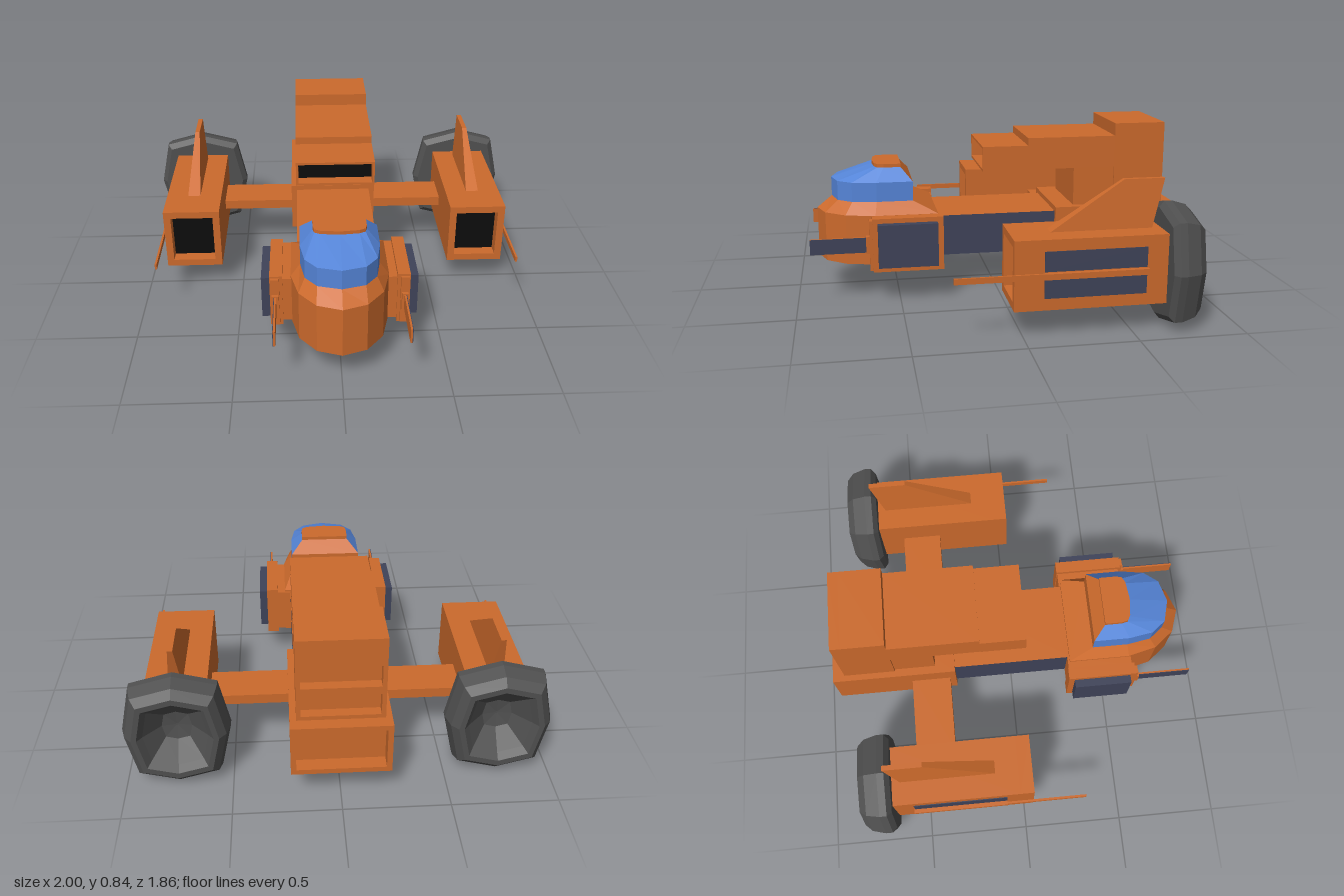
import * as THREE from 'three';

const mat = (name, color) => {
  const m = new THREE.MeshStandardMaterial({ color });
  m.name = name;
  return m;
};

export function createModel() {
  const orange = mat('orange hull', 0xcc6a2c);
  const navy = mat('navy panel', 0x3f4359);
  const blue = mat('blue glass', 0x5585d8);
  const black = mat('black intake', 0x0c0c0c);
  const grey = mat('grey thruster', 0x505050);
  const model = new THREE.Group();

  const add = (name, geo, material, parent = model) => {
    const mesh = new THREE.Mesh(geo, material);
    mesh.name = name;
    parent.add(mesh);
    return mesh;
  };

  // Box given by its limits on each axis
  const box = (name, material, [x0, x1], [y0, y1], [z0, z1], parent) => {
    const g = new THREE.BoxGeometry(Math.abs(x1 - x0), y1 - y0, Math.abs(z1 - z0));
    g.translate((x0 + x1) / 2, (y0 + y1) / 2, (z0 + z1) / 2);
    return add(name, g, material, parent);
  };

  // Rectangular rim with an open middle, running from z0 to z1
  const rim = (name, cx, w, [y0, y1], [z0, z1], t, parent) => {
    const rect = (P, a, b, c, d) => new P([[a, c], [b, c], [b, d], [a, d]].map(p => new THREE.Vector2(...p)));
    const shape = rect(THREE.Shape, cx - w, cx + w, y0, y1);
    shape.holes.push(rect(THREE.Path, cx - w + t, cx + w - t, y0 + t, y1 - t));
    const g = new THREE.ExtrudeGeometry(shape, { depth: z1 - z0, bevelEnabled: false });
    g.translate(0, 0, z0);
    return add(name, g, orange, parent);
  };

  // Flat-faced skin over equal-sized rings; the closing side gets material 1
  const loft = (rings) => {
    const pos = [], closing = [];
    const n = rings[0].length, last = rings[rings.length - 1];
    for (let r = 0; r < rings.length - 1; r++) {
      for (let i = 0; i < n; i++) {
        const j = (i + 1) % n, [a, b, c, d] = [rings[r][i], rings[r + 1][i], rings[r + 1][j], rings[r][j]];
        (j ? pos : closing).push(...a, ...b, ...c, ...a, ...c, ...d);
      }
    }
    for (let i = 1; i < n - 1; i++) {
      pos.push(...rings[0][0], ...rings[0][i], ...rings[0][i + 1]);
      pos.push(...last[0], ...last[i + 1], ...last[i]);
    }
    const g = new THREE.BufferGeometry();
    g.setAttribute('position', new THREE.Float32BufferAttribute([...pos, ...closing], 3));
    g.addGroup(0, pos.length / 3, 0);
    g.addGroup(pos.length / 3, closing.length / 3, 1);
    g.computeVertexNormals();
    return g;
  };

  // Symmetric plan outline [x, z] from the rear round the nose, lifted to y
  const plan = (half, y) => {
    const mirrored = half.slice(0, -1).reverse().map(([x, z]) => [-x, z]);
    return [...half, ...mirrored].map(([x, z]) => [x, y, z]);
  };

  // Cockpit hull, canopy and hatch
  const hull = [[0.23, 0.3], [0.23, 0.61], [0.195, 0.755], [0.115, 0.855], [0, 0.895]];
  const sill = [[0.185, 0.42], [0.185, 0.6], [0.165, 0.72], [0.11, 0.79], [0, 0.82]];
  const roof = [[0.125, 0.475], [0.125, 0.56], [0.118, 0.59], [0.09, 0.605], [0, 0.615]];
  add('cockpitHull', loft([plan(hull, 0.165), plan(hull, 0.415), plan(sill, 0.475)]), [orange, orange]);
  add('canopy', loft([plan(sill, 0.475), plan(sill, 0.572), plan(roof, 0.635)]), [blue, orange]);
  add('canopyHatch', loft([plan(roof, 0.632), plan(roof, 0.652)]), [orange, orange]);

  // Fuselage with dark flanks
  const flank = [navy, navy, orange, orange, orange, orange];
  box('fuselage', flank, [-0.2, 0.2], [0.19, 0.395], [-0.3, 0.31]);

  // Rear block with an open back
  box('rearBlock', orange, [-0.23, 0.23], [0.16, 0.42], [-0.86, -0.3]);
  rim('rearBlockRim', 0, 0.23, [0.16, 0.42], [-0.93, -0.86], 0.025);

  // Upper housing with a front intake
  box('upperHousing', orange, [-0.2, 0.2], [0.615, 0.775], [-0.61, -0.16]);
  box('intakeHousing', orange, [-0.2, 0.2], [0.61, 0.737], [-0.16, 0]);
  rim('intakeRim', 0, 0.2, [0.61, 0.737], [0, 0.07], 0.012);
  box('intakeGrille', black, [-0.188, 0.188], [0.622, 0.725], [0, 0.005]);
  box('housingPylon', orange, [-0.19, 0.19], [0.42, 0.615], [-0.61, -0.4]);

  // Tail tower with recessed back panels
  box('tailTower', orange, [-0.2, 0.2], [0.42, 0.838], [-0.82, -0.61]);
  box('tailCap', orange, [-0.2, 0.2], [0.72, 0.838], [-0.87, -0.82]);
  rim('tailUpperRim', 0, 0.2, [0.57, 0.72], [-0.87, -0.82], 0.02);
  rim('tailLowerRim', 0, 0.2, [0.42, 0.57], [-0.87, -0.82], 0.02);

  // Eight-sided thruster bell: [scale, z] rings out over the lip and into the bowl
  const corners = [[0.25, 0], [0.2, 0.23], [0, 0.283], [-0.2, 0.23], [-0.25, 0], [-0.2, -0.23], [0, -0.283], [0.2, -0.23]];
  const bell = [[0.9, -0.652], [1, -0.675], [1, -0.71], [0.93, -0.775], [0.8, -0.81], [0.7, -0.81], [0.6, -0.78], [0.28, -0.7], [0.02, -0.69]];

  for (const s of [1, -1]) {
    const side = s > 0 ? 'left' : 'right';
    const X = (a, b) => [s * a, s * b];

    // Side pod beside the cockpit
    const pod = new THREE.Group();
    pod.name = side + 'Pod';
    model.add(pod);
    box('podRoot', orange, X(0.2, 0.28), [0.175, 0.405], [0.29, 0.62], pod);
    box('podBody', orange, X(0.27, 0.33), [0.157, 0.425], [0.285, 0.63], pod);
    box('podNose', orange, X(0.285, 0.325), [0.165, 0.415], [0.63, 0.645], pod);
    box('podPanel', navy, X(0.33, 0.37), [0.188, 0.402], [0.315, 0.605], pod);
    box('gunMount', orange, X(0.29, 0.32), [0.25, 0.335], [0.645, 0.662], pod);
    box('gunBlade', orange, X(0.3, 0.309), [0.255, 0.33], [0.65, 0.93], pod);
    box('gunBladePanel', navy, X(0.309, 0.312), [0.255, 0.33], [0.662, 0.93], pod);

    // Wing strut
    box(side + 'Strut', orange, X(0.2, 0.62), [0.267, 0.317], [-0.53, -0.33]);

    // Engine nacelle with a framed intake
    const engine = new THREE.Group();
    engine.name = side + 'Engine';
    model.add(engine);
    box('nacelle', orange, X(0.605, 0.895), [0.13, 0.453], [-0.66, -0.025], engine);
    rim('nacelleRim', s * 0.75, 0.145, [0.13, 0.453], [-0.025, 0.045], 0.036, engine);
    box('nacelleIntake', black, X(0.641, 0.859), [0.166, 0.417], [-0.025, -0.02], engine);

    // Outer panels and guide rail
    for (const y of [[0.185, 0.272], [0.308, 0.4]]) {
      box('nacellePanel', navy, X(0.895, 0.899), y, [-0.555, -0.09], engine);
    }
    box('rail', orange, X(0.895, 0.918), [0.277, 0.304], [-0.56, -0.09], engine);
    box('railLance', orange, X(0.904, 0.914), [0.277, 0.304], [-0.09, 0.31], engine);

    // Swept fin
    const finRing = (w, y, rear, front) =>
      [[w, rear], [w, front], [-w, front], [-w, rear]].map(([x, z]) => [s * 0.75 + x, y, z]);
    add('fin', loft([finRing(0.033, 0.45, -0.61, -0.135), finRing(0.012, 0.677, -0.67, -0.48)]), [orange, orange], engine);

    // Thruster
    const rings = bell.map(([k, z]) => corners.map(([x, y]) => [s * 0.75 + x * k, 0.285 + y * k, z]));
    add('thruster', loft(rings), [grey, grey], engine);
  }
  return model;
}
